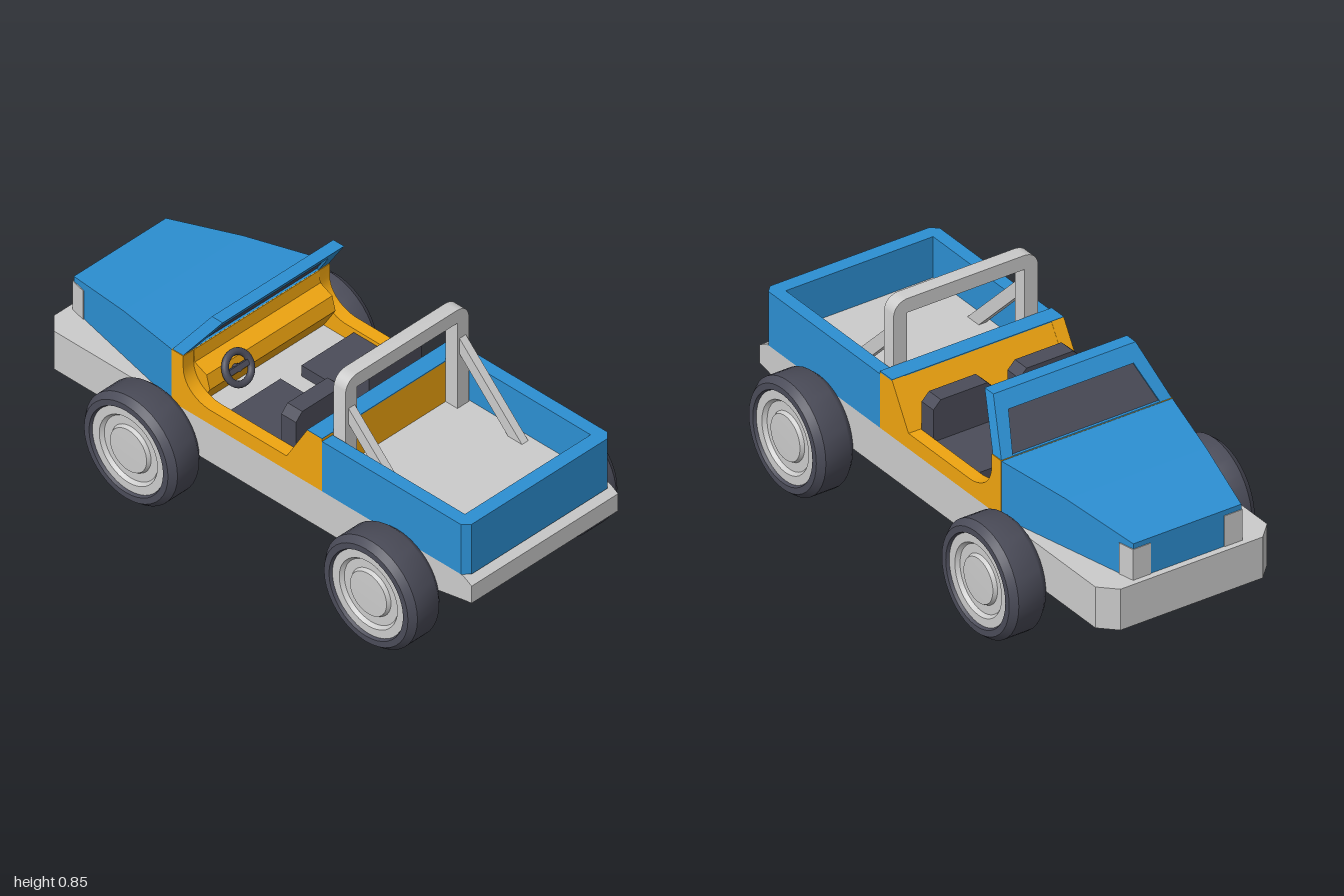
import * as THREE from 'three';
import { toCreasedNormals } from 'three/addons/utils/BufferGeometryUtils.js';

const mat = (color) => new THREE.MeshStandardMaterial({ color });
const grey = mat(0xcccccc), blue = mat(0x2c8fd2), orange = mat(0xf0a510), dark = mat(0x4b4c59);

export function createModel() {
  const model = new THREE.Group();

  const add = (name, geo, material, parent = model) => {
    const m = new THREE.Mesh(geo, material);
    m.name = name;
    parent.add(m);
    return m;
  };
  const poly = (pts) => new THREE.Shape(pts.map(([a, b]) => new THREE.Vector2(a, b)));
  const extrude = (shape, depth) =>
    new THREE.ExtrudeGeometry(shape, { depth, bevelEnabled: false, curveSegments: 10 });

  // Profile in (z, y), extruded from x0 to x1
  const sideways = (shape, x0, x1) => extrude(shape, x1 - x0).rotateY(-Math.PI / 2).translate(x1, 0, 0);
  // Outline in (x, z), extruded from y0 up to y1
  const upright = (shape, y0, y1) => extrude(shape, y1 - y0).rotateX(Math.PI / 2).translate(0, y1, 0);
  const box = (x0, x1, y0, y1, z0, z1) =>
    new THREE.BoxGeometry(x1 - x0, y1 - y0, z1 - z0).translate((x0 + x1) / 2, (y0 + y1) / 2, (z0 + z1) / 2);

  // Rectangular cross-sections [z, half width, bottom, top] joined along z
  const loft = (sections) => {
    const rings = sections.map(([z, w, b, t]) => [[-w, b, z], [w, b, z], [w, t, z], [-w, t, z]]);
    const pos = [];
    const quad = (a, b, c, d) => pos.push(...a, ...b, ...c, ...a, ...c, ...d);
    for (let s = 0; s < rings.length - 1; s++)
      for (let i = 0; i < 4; i++) {
        const j = (i + 1) % 4;
        quad(rings[s][i], rings[s][j], rings[s + 1][j], rings[s + 1][i]);
      }
    quad(...[...rings[0]].reverse());
    quad(...rings[rings.length - 1]);
    const g = new THREE.BufferGeometry();
    g.setAttribute('position', new THREE.Float32BufferAttribute(pos, 3));
    g.computeVertexNormals();
    return g;
  };

  // Chassis with cut corners at the nose and a raised tail
  add('chassis', loft([
    [-1, 0.29, 0.22, 0.38], [-0.94, 0.35, 0.22, 0.38], [0.66, 0.35, 0.22, 0.38],
    [0.96, 0.35, 0.278, 0.38], [1, 0.35, 0.285, 0.357],
  ]), grey);

  // Hood
  add('hood', loft([
    [-0.975, 0.22, 0.38, 0.52], [-0.68, 0.285, 0.38, 0.57], [-0.395, 0.348, 0.38, 0.598],
  ]), blue);
  for (const s of [-1, 1])
    add('headlight', upright(poly([
      [s * 0.15, -0.978], [s * 0.223, -0.978], [s * 0.237, -0.915], [s * 0.15, -0.915],
    ]), 0.38, 0.5), grey);

  // Cargo bed
  add('bedWalls', upright(poly([
    [-0.35, 0.305], [-0.35, 0.95], [-0.325, 0.975], [0.325, 0.975], [0.35, 0.95], [0.35, 0.305],
    [0.3, 0.305], [0.3, 0.92], [-0.3, 0.92], [-0.3, 0.305],
  ]), 0.38, 0.59), blue);
  add('bedFloor', box(-0.3, 0.3, 0.38, 0.43, 0.305, 0.92), grey);

  // Cabin sides with a curved door opening
  const side = poly([[0.305, 0.38], [0.305, 0.6], [0.235, 0.6], [0.14, 0.44], [-0.22, 0.44]]);
  side.bezierCurveTo(-0.29, 0.445, -0.34, 0.49, -0.34, 0.55);
  side.lineTo(-0.34, 0.6);
  side.lineTo(-0.395, 0.6);
  side.lineTo(-0.395, 0.38);
  for (const x of [-0.35, 0.3])
    add('cabinSide', toCreasedNormals(sideways(side, x, x + 0.05), 0.5), orange);

  // Sloped panel behind the seats, capped by the bed rim
  add('rearPanel', sideways(poly([
    [0.305, 0.38], [0.305, 0.598], [0.235, 0.598], [0.14, 0.44], [0.14, 0.38],
  ]), -0.3, 0.3), orange);
  add('bedRim', box(-0.35, 0.35, 0.597, 0.602, 0.235, 0.305), blue);

  // Dashboard
  add('dashboard', sideways(poly([
    [-0.395, 0.38], [-0.395, 0.599], [-0.34, 0.599], [-0.335, 0.55], [-0.28, 0.525], [-0.265, 0.47], [-0.32, 0.38],
  ]), -0.3, 0.3), orange);

  // Windshield, leaning back
  const lean = (g) => {
    const p = g.attributes.position;
    for (let i = 0; i < p.count; i++) p.setZ(i, p.getZ(i) + (p.getY(i) - 0.597) * 0.73);
    g.computeVertexNormals();
    return g;
  };
  const frame = poly([[-0.348, 0.597], [0.348, 0.597], [0.29, 0.775], [-0.29, 0.775]]);
  const pane = [[-0.3, 0.601], [0.3, 0.601], [0.255, 0.723], [-0.255, 0.723]];
  frame.holes.push(poly(pane));
  add('windshieldFrame', lean(extrude(frame, 0.05).translate(0, 0, -0.395)), blue);
  add('windshieldGlass', lean(extrude(poly(pane), 0.03).translate(0, 0, -0.385)), dark);

  // Seats
  for (const x of [-0.175, 0.175]) {
    const seat = new THREE.Group();
    seat.name = 'seat';
    seat.position.x = x;
    model.add(seat);
    add('seatCushion', box(-0.125, 0.125, 0.38, 0.425, -0.18, 0.08), dark, seat);
    const back = extrude(poly([
      [-0.125, 0.4], [0.125, 0.4], [0.125, 0.55], [0.095, 0.58], [-0.095, 0.58], [-0.125, 0.55],
    ]), 0.068);
    add('seatBack', back.translate(0, 0, 0.067), dark, seat);
  }

  // Steering wheel on its column
  const steering = new THREE.Group();
  steering.name = 'steering';
  steering.position.set(-0.175, 0.5, -0.255);
  steering.rotation.x = -0.53;
  model.add(steering);
  add('steeringRim', new THREE.TorusGeometry(0.056, 0.013, 10, 28), dark, steering);
  add('steeringSpoke', box(-0.056, 0.056, -0.01, 0.01, -0.007, 0.007), dark, steering);
  add('steeringColumn', new THREE.CylinderGeometry(0.015, 0.015, 0.09, 14).rotateX(Math.PI / 2).translate(0, 0, -0.04), dark, steering);

  // Roll bar: square-section hoop with rounded shoulders
  const hoop = poly([[-0.24, 0.43], [-0.295, 0.43], [-0.295, 0.79]]);
  hoop.quadraticCurveTo(-0.29, 0.84, -0.24, 0.845);
  hoop.lineTo(0.24, 0.845);
  hoop.quadraticCurveTo(0.29, 0.84, 0.295, 0.79);
  for (const [x, y] of [[0.295, 0.43], [0.24, 0.43], [0.24, 0.79], [-0.24, 0.79]]) hoop.lineTo(x, y);
  add('rollBar', toCreasedNormals(extrude(hoop, 0.055).translate(0, 0, 0.305), 0.5), grey);
  for (const x of [-0.28, 0.25])
    add('rollBarBrace', sideways(poly([[0.36, 0.72], [0.65, 0.43], [0.585, 0.43], [0.36, 0.655]]), x, x + 0.03), grey);

  // Wheels, turned profiles [radius, distance along the axle]
  const lathe = (pts) => toCreasedNormals(
    new THREE.LatheGeometry(pts.map(([r, h]) => new THREE.Vector2(r, h)), 40).rotateZ(-Math.PI / 2), 0.45);
  const tyre = lathe([
    [0.165, -0.06], [0.172, -0.075], [0.195, -0.075], [0.213, -0.055], [0.215, -0.05],
    [0.215, 0.05], [0.195, 0.075], [0.172, 0.075], [0.165, 0.06],
  ]);
  const hub = lathe([
    [0, -0.06], [0.13, -0.05], [0.135, -0.062], [0.17, -0.062], [0.17, 0.064], [0.135, 0.064],
    [0.125, 0.05], [0.092, 0.05], [0.085, 0.064], [0, 0.066],
  ]);
  for (const z of [-0.46, 0.655])
    for (const s of [-1, 1]) {
      const wheel = new THREE.Group();
      wheel.name = 'wheel';
      wheel.position.set(s * 0.425, 0.215, z);
      wheel.rotation.y = s > 0 ? 0 : Math.PI;
      model.add(wheel);
      add('tyre', tyre, dark, wheel);
      add('hub', hub, grey, wheel);
    }

  return model;
}
